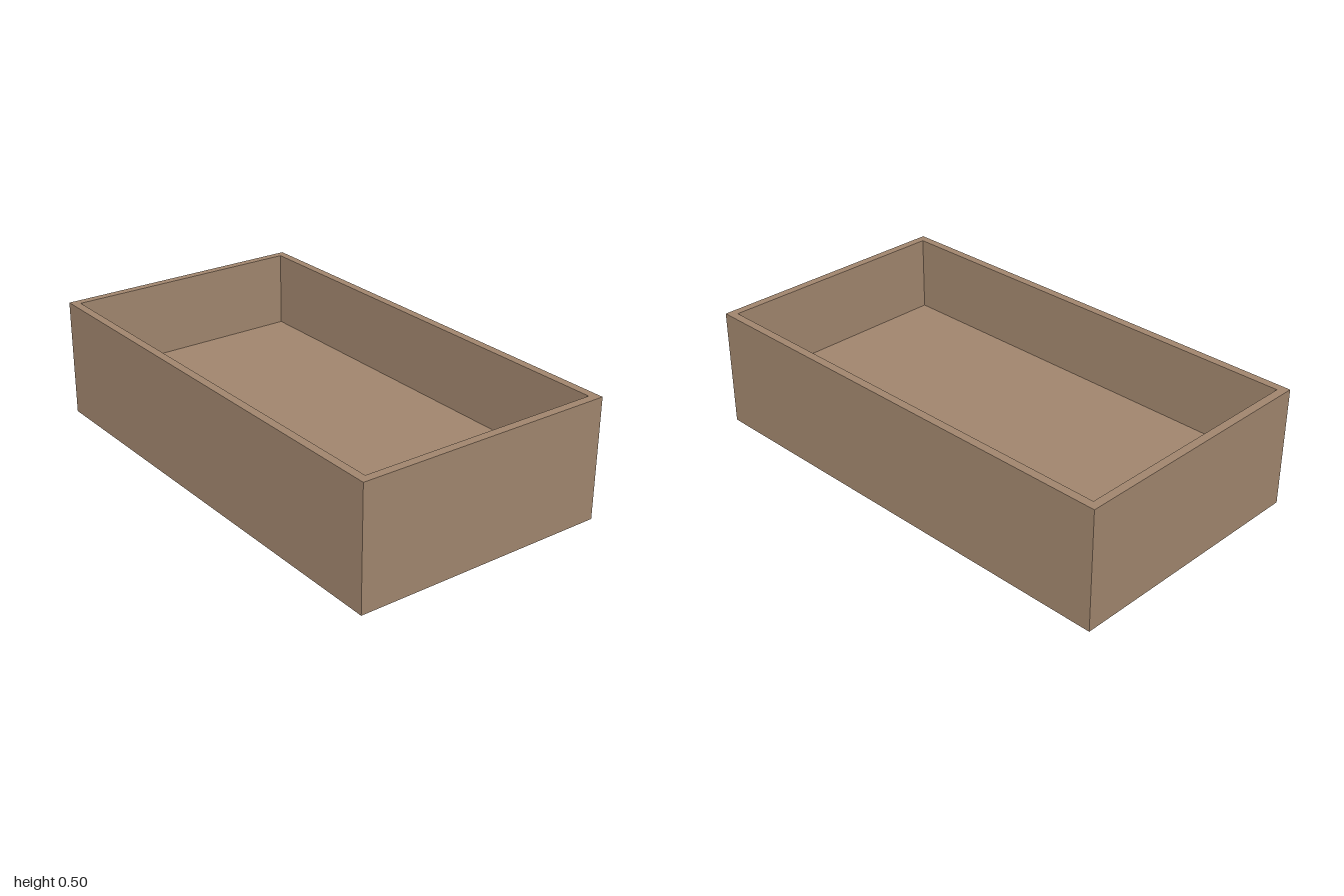
import * as THREE from 'three';

const WIDTH = 2, HEIGHT = 0.505, DEPTH = 1.1;
const WALL = 0.035, FLOOR = 0.18;

// Corner points of a rectangle centred on the origin
function rectangle(w, d) {
  return [[-1, -1], [1, -1], [1, 1], [-1, 1]].map(
    ([x, y]) => new THREE.Vector2(x * w / 2, y * d / 2));
}

export function createModel() {
  const group = new THREE.Group();
  group.name = 'openTray';
  const wood = new THREE.MeshStandardMaterial({ color: 0xa0856d });
  wood.name = 'brown wood';

  const innerW = WIDTH - 2 * WALL, innerD = DEPTH - 2 * WALL;

  // Four side walls as one upright frame
  const outline = new THREE.Shape(rectangle(WIDTH, DEPTH));
  outline.holes.push(new THREE.Path(rectangle(innerW, innerD).reverse()));
  const frame = new THREE.ExtrudeGeometry(outline, { depth: HEIGHT, bevelEnabled: false });
  frame.rotateX(-Math.PI / 2);
  const walls = new THREE.Mesh(frame, wood);
  walls.name = 'walls';
  group.add(walls);

  // Thick raised floor, flush with the underside
  const floor = new THREE.Mesh(new THREE.BoxGeometry(innerW, FLOOR, innerD), wood);
  floor.name = 'floor';
  floor.position.y = FLOOR / 2;
  group.add(floor);

  return group;
}
